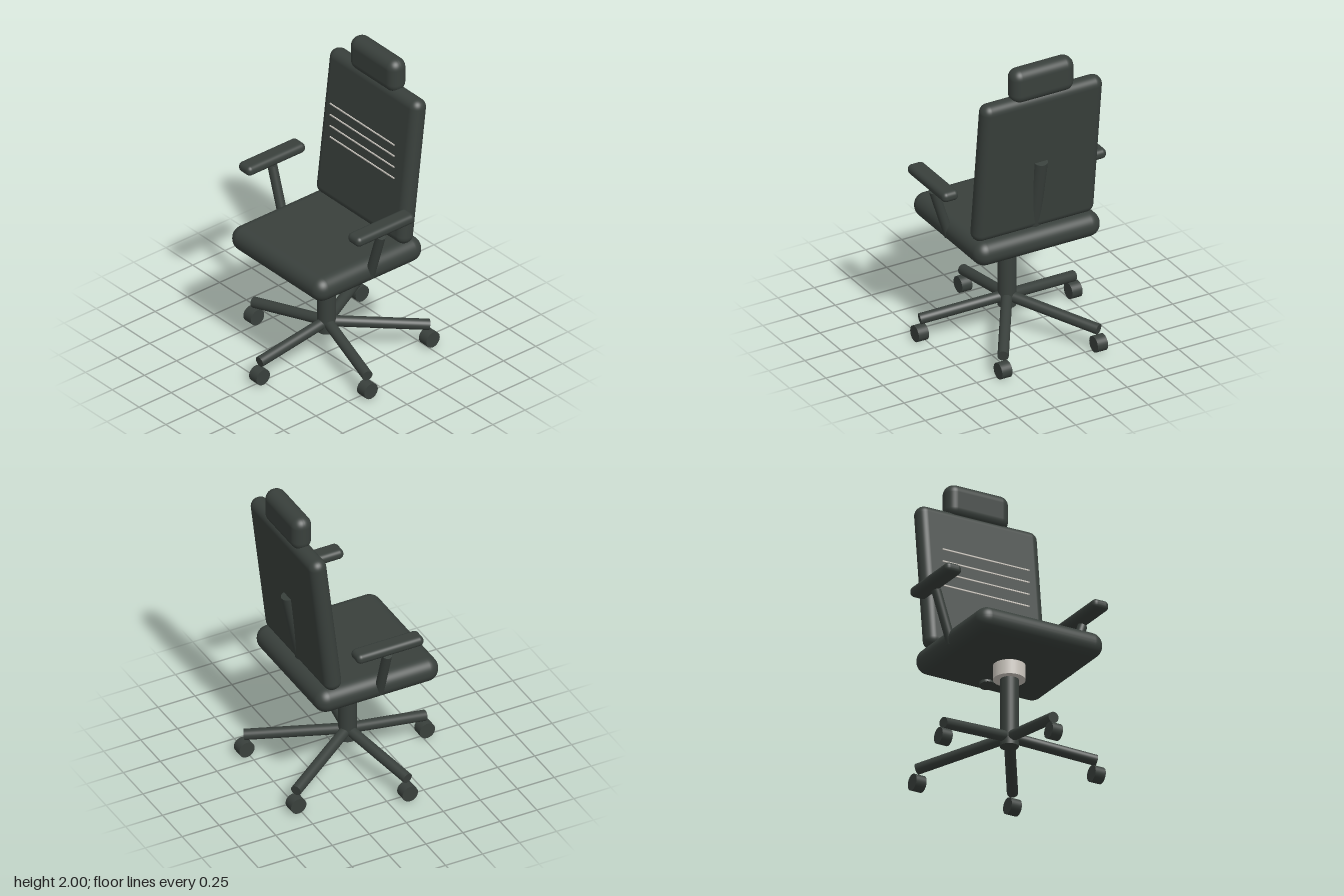
import * as THREE from 'three';
import { RoundedBoxGeometry } from 'three/addons/geometries/RoundedBoxGeometry.js';

export function createModel() {
  const chair = new THREE.Group();
  chair.name = 'officeChair';

  const dark = new THREE.MeshStandardMaterial({ color: 0x39403c });
  const light = new THREE.MeshStandardMaterial({ color: 0xd0cbc3 });

  function add(name, geometry, material, x, y, z) {
    const mesh = new THREE.Mesh(geometry, material);
    mesh.name = name;
    mesh.position.set(x, y, z);
    chair.add(mesh);
    return mesh;
  }

  // Soft-edged cushion or pad
  function pad(name, w, h, d, radius, x, y, z) {
    return add(name, new RoundedBoxGeometry(w, h, d, 6, radius), dark, x, y, z);
  }

  // Straight round bar between two points
  function bar(name, from, to, radius, material = dark) {
    const a = new THREE.Vector3(...from);
    const b = new THREE.Vector3(...to);
    const dir = b.clone().sub(a);
    const mid = a.clone().add(b).multiplyScalar(0.5);
    const mesh = add(name, new THREE.CylinderGeometry(radius, radius, dir.length(), 32), material, mid.x, mid.y, mid.z);
    mesh.quaternion.setFromUnitVectors(new THREE.Vector3(0, 1, 0), dir.normalize());
    return mesh;
  }

  // Seat, reclined back and headrest
  pad('seat', 0.866, 0.16, 0.83, 0.078, 0, 0.773, 0);
  pad('backrest', 0.83, 0.98, 0.115, 0.056, 0, 1.325, -0.348).rotation.x = -0.117;
  pad('headrest', 0.43, 0.225, 0.13, 0.062, 0, 1.888, -0.4);

  // Pale trim lines in front of the back
  for (let i = 0; i < 4; i++) {
    add('trimLine', new THREE.BoxGeometry(0.6, 0.008, 0.006), light, 0, 1.267 + i * 0.079, -0.276);
  }

  // Sloping spine behind the back, passing through the seat
  bar('backSpine', [0, 0.67, -0.265], [0, 1.325, -0.4], 0.045);

  // Armrests on splayed struts
  for (const side of [-1, 1]) {
    pad('armrest', 0.112, 0.066, 0.45, 0.03, side * 0.51, 1.133, 0);
    bar('armStrut', [side * 0.4, 0.74, 0], [side * 0.506, 1.073, 0], 0.03);
  }

  // Central column and pale collar
  bar('column', [0, 0.16, 0], [0, 0.72, 0], 0.057);
  bar('collar', [0, 0.6, 0], [0, 0.72, 0], 0.098, light);

  // Five legs, each with a wheel on a sideways axle
  const feet = [[0, 0.522], [0.53, 0.125], [-0.53, 0.125], [0.33, -0.523], [-0.33, -0.523]];
  for (const [x, z] of feet) {
    bar('leg', [0, 0.225, 0], [x, 0.145, z], 0.034);
    bar('wheel', [x - 0.035, 0.052, z], [x + 0.035, 0.052, z], 0.052);
  }

  return chair;
}
